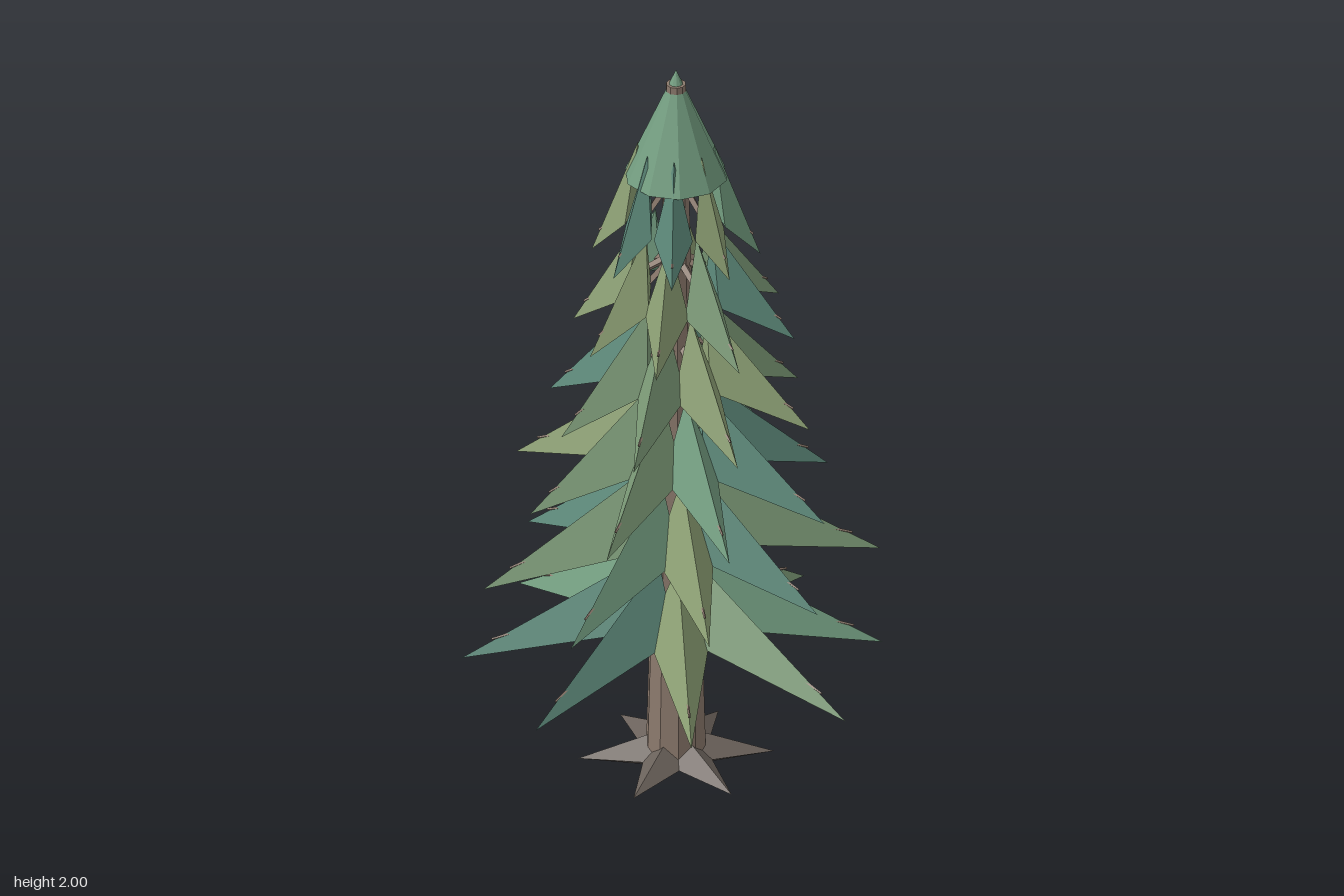
import * as THREE from 'three';

const mat = (color, side = THREE.FrontSide) =>
  new THREE.MeshStandardMaterial({ color, flatShading: true, side });
const greens = [0x739d80, 0x8c9f74, 0x5d897a, 0x7d9b78].map(c => mat(c, THREE.DoubleSide));
const bark = mat(0x8c7a6d);
const rootBark = mat(0x6b625b);

// Small seeded generator for the natural variation
let seed = 7;
const rand = () => (seed = (seed * 16807) % 2147483647) / 2147483647;

function facets(points, faces) {
  const g = new THREE.BufferGeometry();
  g.setAttribute('position', new THREE.Float32BufferAttribute(
    faces.flatMap(f => f.flatMap(i => points[i])), 3));
  g.computeVertexNormals();
  return g;
}

function part(parent, name, geometry, material, y = 0) {
  const m = new THREE.Mesh(geometry, material);
  m.name = name;
  m.position.y = y;
  parent.add(m);
  return m;
}

// Drooping bough: ridge from apex to tip, two side corners, hollow underside
function boughGeometry(reach, half, apexR, height) {
  const sideR = apexR + 0.03;
  const points = [
    [apexR, height, 0],
    [sideR, 0.1, half],
    [sideR, 0.1, -half],
    [reach, 0, 0],
    [apexR - 0.015, 0.15, 0],
  ];
  return facets(points, [[0, 1, 3], [0, 3, 2], [4, 3, 1], [4, 2, 3], [0, 4, 1], [0, 2, 4]]);
}

// Thin twig lying along the ridge, just breaking through it near the end
function twig(parent, reach, apexR, height) {
  const onRidge = (r, lift) =>
    new THREE.Vector3(r, height * (reach - r) / (reach - apexR) + lift, 0);
  const a = new THREE.Vector3(0.03, height * 0.65, 0);
  const b = onRidge(apexR + (reach - apexR) * 0.84, 0.006);
  const dir = b.clone().sub(a);
  const m = part(parent, 'twig', new THREE.CylinderGeometry(0.003, 0.011, dir.length(), 4), bark);
  m.position.copy(a).add(b).multiplyScalar(0.5);
  m.quaternion.setFromUnitVectors(new THREE.Vector3(0, 1, 0), dir.normalize());
}

// Six-pointed star of roots, pointed above and below
function rootGeometry() {
  const points = [[0, 0.125, 0], [0, 0.005, 0]];
  const faces = [];
  for (let i = 0; i < 12; i++) {
    const a = i * Math.PI / 6, r = i % 2 ? 0.1 : 0.245;
    points.push([r * Math.cos(a), i % 2 ? 0.05 : 0.04, -r * Math.sin(a)]);
    const p = i + 2, q = (i + 1) % 12 + 2;
    faces.push([0, p, q], [1, q, p]);
  }
  return facets(points, faces);
}

export function createModel() {
  seed = 7;
  const model = new THREE.Group();
  model.name = 'pineTree';
  const tree = new THREE.Group();
  tree.name = 'tree';
  tree.position.set(0.005, 0, 0.045);
  model.add(tree);

  part(tree, 'roots', rootGeometry(), rootBark);
  part(tree, 'trunk', new THREE.CylinderGeometry(0.025, 0.077, 1.92, 10), bark, 1.0);

  // Tiers from the ground up: height of tips, reach of each bough, half width, apex
  const tiers = [
    { y: 0.34, reach: [0.515, 0.49, 0.59, 0.516, 0.535, 0.537, 0.5, 0.555], half: 0.08, apexR: 0.065, height: 0.28 },
    { y: 0.57, reach: [0.52, 0.45, 0.47, 0.44, 0.49, 0.48, 0.4, 0.42], half: 0.075, apexR: 0.07, height: 0.3 },
    { y: 0.80, reach: [0.4, 0.44, 0.43, 0.44, 0.385, 0.4, 0.4, 0.41], half: 0.07, apexR: 0.075, height: 0.3 },
    { y: 1.03, reach: [0.34, 0.36, 0.36, 0.33, 0.32, 0.34, 0.34, 0.35], half: 0.062, apexR: 0.08, height: 0.3 },
    { y: 1.26, reach: [0.31, 0.3, 0.29, 0.26, 0.26, 0.27, 0.28, 0.3], half: 0.055, apexR: 0.09, height: 0.3 },
    { y: 1.48, reach: [0.21, 0.2, 0.22, 0.21, 0.21, 0.2, 0.2, 0.21], half: 0.048, apexR: 0.095, height: 0.31 },
  ];
  tiers.forEach((t, i) => {
    const tier = new THREE.Group();
    tier.name = `boughTier${i + 1}`;
    tier.position.y = t.y;
    tree.add(tier);
    t.reach.forEach((reach, k) => {
      const bough = new THREE.Group();
      bough.name = 'bough';
      bough.rotation.y = THREE.MathUtils.degToRad(45 * k + 7.5 * i);
      tier.add(bough);
      const green = greens[Math.floor(rand() * greens.length)];
      part(bough, 'needles', boughGeometry(reach, t.half, t.apexR, t.height), green);
      twig(bough, reach, t.apexR, t.height);
    });
  });

  // Pointed crown
  part(tree, 'crown', new THREE.ConeGeometry(0.13, 0.3, 10, 1, true), greens[0], 1.85);
  return model;
}
